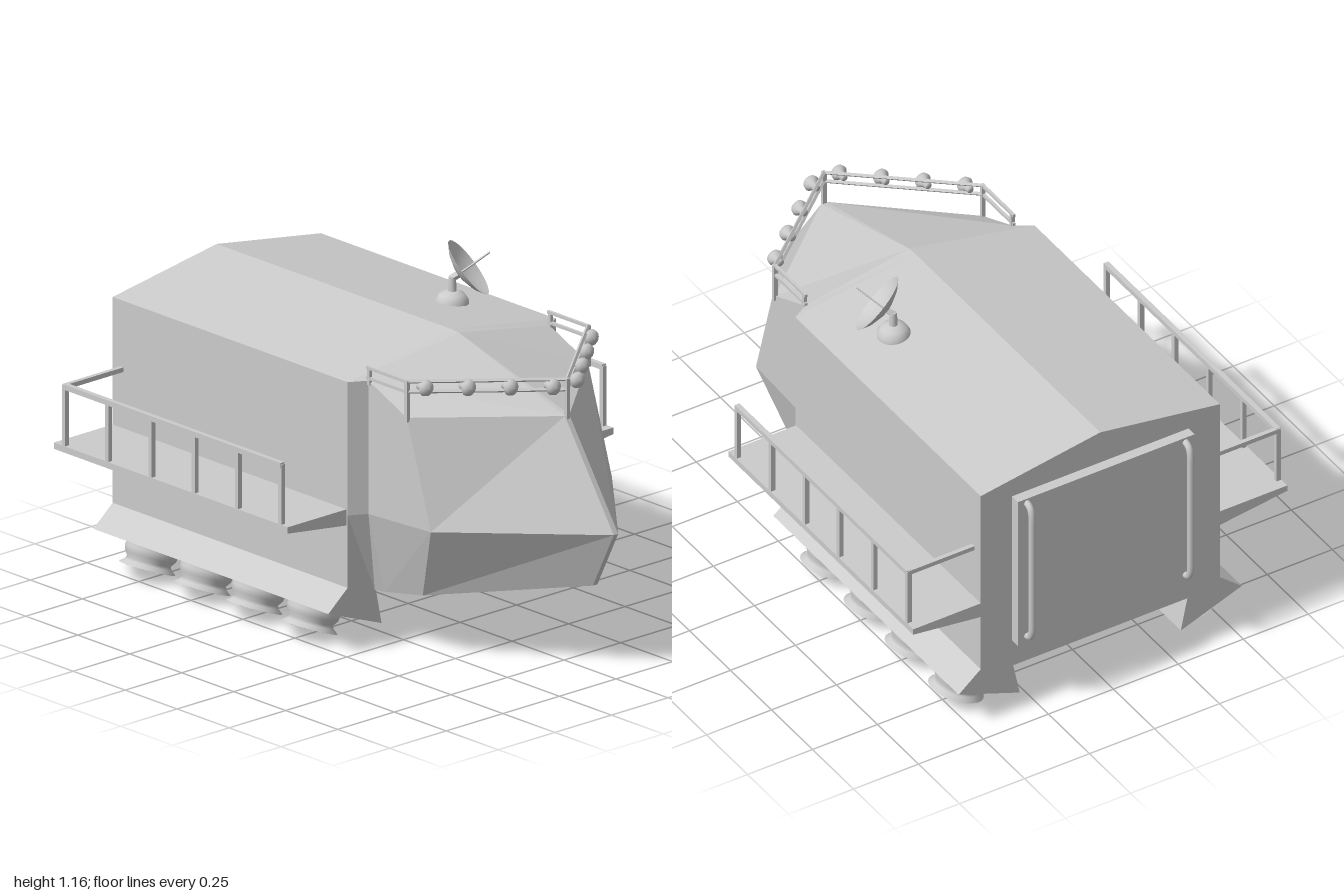
import * as THREE from 'three';

const V = (x, y, z) => new THREE.Vector3(x, y, z);
const UP = V(0, 1, 0);
const flat = new THREE.MeshStandardMaterial({ color: 0xcccccc, flatShading: true });
const smooth = new THREE.MeshStandardMaterial({ color: 0xcccccc, side: THREE.DoubleSide });

export function createModel() {
  const model = new THREE.Group();
  const add = (name, geo, mat = flat, parent = model) => {
    const m = new THREE.Mesh(geo, mat);
    m.name = name;
    parent.add(m);
    return m;
  };
  const group = (name) => {
    const g = new THREE.Group();
    g.name = name;
    model.add(g);
    return g;
  };
  // Square bar between two points
  const bar = (name, a, b, t, parent) => {
    const m = add(name, new THREE.BoxGeometry(t, a.distanceTo(b) + t * 0.5, t), flat, parent);
    m.position.copy(a).lerp(b, 0.5);
    m.quaternion.setFromUnitVectors(UP, b.clone().sub(a).normalize());
    return m;
  };
  const lathe = (pts, seg = 28) =>
    new THREE.LatheGeometry(pts.map(([x, y]) => new THREE.Vector2(x, y)), seg);
  const extrude = (pts, z0, z1) => {
    const shape = new THREE.Shape(pts.map(([x, y]) => new THREE.Vector2(x, y)));
    return new THREE.ExtrudeGeometry(shape, { depth: z1 - z0, bevelEnabled: false }).translate(0, 0, z0);
  };
  // Rounded pipe through corner points
  const pipe = (name, pts, r, parent) => {
    const path = new THREE.CurvePath();
    let from = pts[0];
    for (let i = 1; i < pts.length - 1; i++) {
      const p = pts[i];
      const cut = (q) => p.clone().add(q.clone().sub(p).setLength(Math.min(0.05, p.distanceTo(q) * 0.49)));
      const a = cut(pts[i - 1]), b = cut(pts[i + 1]);
      path.add(new THREE.LineCurve3(from, a));
      path.add(new THREE.QuadraticBezierCurve3(a, p, b));
      from = b;
    }
    path.add(new THREE.LineCurve3(from, pts[pts.length - 1]));
    return add(name, new THREE.TubeGeometry(path, 64, r, 10), smooth, parent);
  };

  // Main hull with flared skids along the lower sides
  const half = [[0.46, 0.93], [0.46, 0.22], [0.545, 0.15], [0.31, 0.063], [0.335, 0.185]];
  add('hull', extrude([[0, 1.003], ...half, ...half.slice().reverse().map(([x, y]) => [-x, y])], -0.92, 0.21));

  // Wedge cabin: half cross-sections from roof to belly, mirrored
  const w = 0.01;
  const rings = [
    [V(0, 1.003, 0.21), V(0.46, 0.93, 0.21), V(0.46, 0.47, 0.21), V(0.34, 0.185, 0.21), V(0, 0.18, 0.21)],
    [V(0, 1.0, 0.245), V(0.4, 0.93, 0.245), V(0.4, 0.47, 0.245), V(0.33, 0.185, 0.245), V(0, 0.185, 0.245)],
    [V(w, 0.85, 0.765), V(0.4, 0.85, 0.43), V(0.4, 0.485, 0.545), V(0.33, 0.22, 0.43), V(w, 0.3, 0.9)],
  ];
  const nose = V(w, 0.5, 1);
  const pos = [];
  const quad = (a, b, c, d) => [a, b, c, a, c, d].forEach((p) => pos.push(p.x, p.y, p.z));
  const flip = (p) => V(-p.x, p.y, p.z);
  const both = (a, b, c, d) => {
    quad(a, b, c, d);
    quad(flip(d), flip(c), flip(b), flip(a));
  };
  for (let i = 0; i < 2; i++)
    for (let j = 0; j < 4; j++) both(rings[i][j], rings[i + 1][j], rings[i + 1][j + 1], rings[i][j + 1]);
  const [roofC, roofS, mid, low, chin] = rings[2];
  both(nose, mid, roofS, roofC);
  both(chin, low, mid, nose);
  const keel = [rings[1][0], roofC, nose, chin, rings[1][4]];
  for (let k = 0; k < 4; k++) quad(flip(keel[k + 1]), keel[k + 1], keel[k], flip(keel[k]));
  const cabin = new THREE.BufferGeometry();
  cabin.setAttribute('position', new THREE.Float32BufferAttribute(pos, 3));
  cabin.computeVertexNormals();
  add('cabin', cabin);

  // Side walkways, railings and thrusters
  const thrusterGeo = lathe([[0, -0.01], [0.085, -0.01], [0.09, 0.015], [0.086, 0.035], [0.074, 0.052],
    [0.078, 0.062], [0.095, 0.076], [0.088, 0.077], [0.055, 0.05], [0.045, 0.03], [0, 0.025]], 32);
  for (const s of [1, -1]) {
    const side = s > 0 ? 'left' : 'right';
    add(side + 'Walkway', extrude([[0.45, 0.49], [0.72, 0.49], [0.72, 0.468], [0.45, 0.433]]
      .map(([x, y]) => [x * s, y]), -0.92, 0.205));

    const railing = group(side + 'Railing');
    const X = 0.71 * s, Y = 0.693;
    for (let i = 0; i < 6; i++) {
      const z = 0.165 - i * 0.208;
      bar('railPost', V(X, 0.485, z), V(X, Y, z), 0.016, railing);
    }
    bar('handRail', V(X, Y, 0.165), V(X, Y, -0.875), 0.018, railing);
    bar('rearRail', V(X, Y, -0.875), V(0.455 * s, Y, -0.875), 0.016, railing);

    const thrusters = group(side + 'Thrusters');
    for (const z of [0.02, -0.245, -0.495, -0.76]) {
      const t = add('thruster', thrusterGeo, smooth, thrusters);
      t.position.set(0.428 * s, 0.106, z);
      t.quaternion.setFromUnitVectors(UP, V(0.348 * s, -0.937, 0).normalize());
    }
  }

  // Rear door with long handles
  add('rearDoor', new THREE.BoxGeometry(0.68, 0.59, 0.04)).position.set(0, 0.585, -0.937);
  for (const s of [1, -1])
    pipe('doorHandle', [V(0.305 * s, 0.865, -0.94), V(0.305 * s, 0.855, -0.988),
      V(0.305 * s, 0.325, -0.988), V(0.305 * s, 0.315, -0.94)], 0.012);

  // Lamp rack around the cabin roof
  const rack = group('lampRack');
  const lampGeo = lathe([[0, -0.03], [0.012, -0.03], [0.014, -0.012], [0.028, 0.002], [0.025, 0.014], [0.014, 0.023], [0, 0.026]], 16);
  for (const y of [0.975, 0.94])
    for (const s of [1, -1]) {
      bar('frontRail', V(0, y, 0.765), V(0.4 * s, y, 0.43), 0.01, rack);
      bar('sideRail', V(0.4 * s, y, 0.43), V(0.4 * s, y, 0.24), 0.01, rack);
    }
  bar('noseRackPost', V(0, 0.84, 0.765), V(0, 0.975, 0.765), 0.014, rack);
  for (const s of [1, -1]) {
    bar('rackPost', V(0.4 * s, 0.84, 0.43), V(0.4 * s, 0.975, 0.43), 0.014, rack);
    bar('rackPost', V(0.4 * s, 0.92, 0.25), V(0.4 * s, 0.975, 0.25), 0.012, rack);
    for (let i = 0; i < 4; i++) {
      const lamp = add('lamp', lampGeo, smooth, rack);
      lamp.position.set((0.053 + i * 0.104) * s, 0.958, 0.752 - i * 0.091);
      lamp.rotation.x = Math.PI / 2;
    }
  }

  // Dish antenna on the roof
  const dish = group('dishAntenna');
  add('dishBase', lathe([[0.055, -0.012], [0.055, 0.008], [0.042, 0.028], [0.02, 0.038], [0, 0.039]], 24), smooth, dish)
    .position.set(0.258, 0.963, -0.07);
  add('dishStalk', new THREE.CylinderGeometry(0.012, 0.015, 0.06, 12), smooth, dish).position.set(0.26, 1.02, -0.07);
  const aim = V(1, 1.1, 1).normalize();
  const bowl = add('dishBowl', lathe([[0, -0.026], [0.04, -0.021], [0.08, -0.006], [0.108, 0.012]], 32), smooth, dish);
  bowl.position.set(0.293, 1.073, -0.042);
  bowl.quaternion.setFromUnitVectors(UP, aim);
  bar('dishNeck', V(0.26, 1.045, -0.07), V(0.28, 1.06, -0.055), 0.018, dish);
  bar('dishFeed', V(0.28, 1.06, -0.055), V(0.348, 1.133, 0.012), 0.005, dish);

  // Pipes under the belly, their ends turned up into the hull
  const belly = group('bellyPipes');
  const routes = [
    [[-0.07, 0.28], [-0.07, -0.1], [0.03, -0.25], [0.03, -0.8]],
    [[0.07, 0.18], [0.07, -0.02], [-0.07, -0.2], [-0.07, -0.5]],
    [[-0.31, -0.12], [-0.12, -0.12], [0.06, -0.26], [0.25, -0.26], [0.25, -0.55]],
  ];
  for (const r of routes) {
    const pts = r.map(([x, z]) => V(x, 0.155, z));
    const first = pts[0].clone().setY(0.2), last = pts[pts.length - 1].clone().setY(0.2);
    pipe('bellyPipe', [first, ...pts, last], 0.014, belly);
  }
  return model;
}
